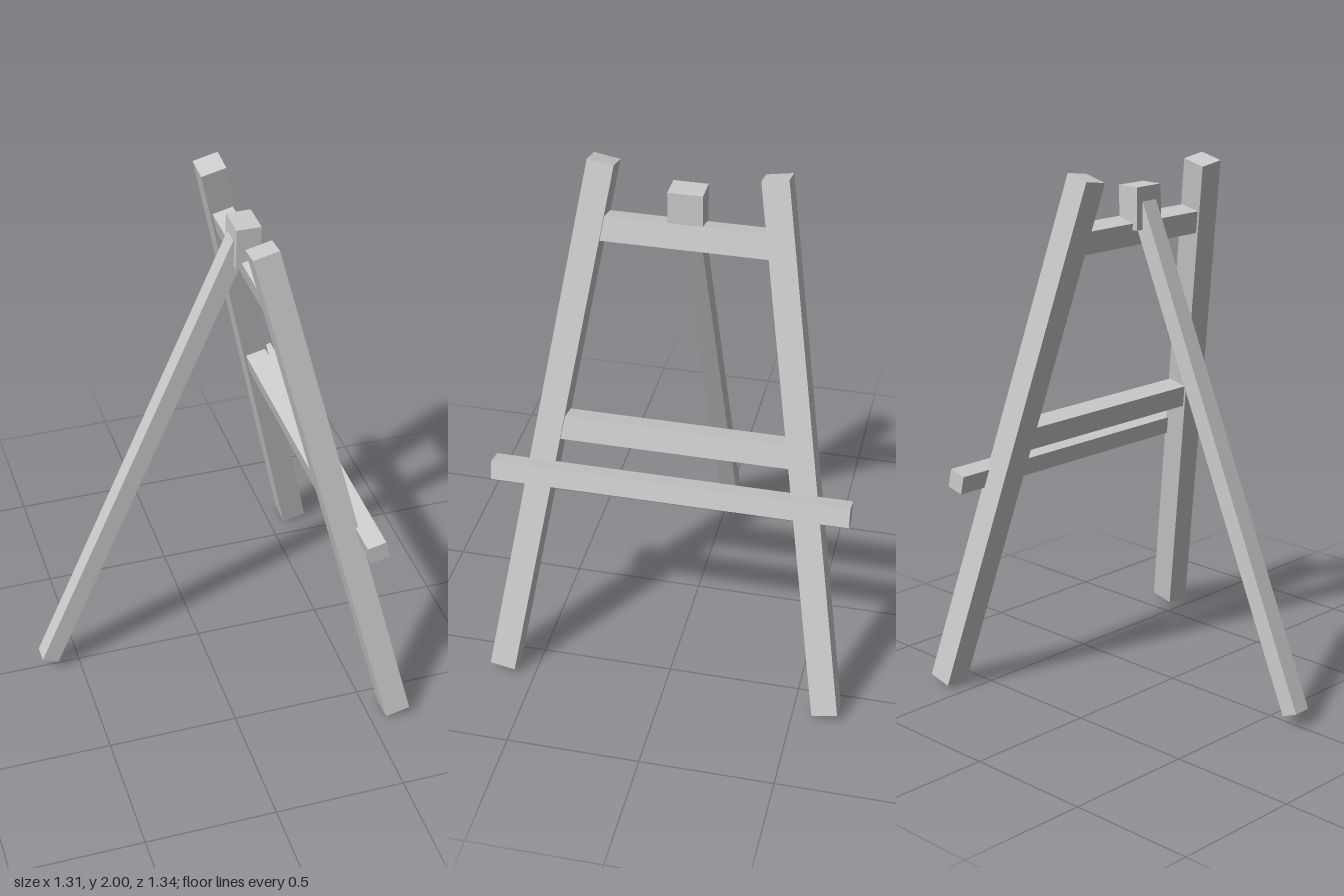
import * as THREE from 'three';

export function createModel() {
  const model = new THREE.Group();
  model.name = 'easel';
  const wood = new THREE.MeshStandardMaterial({ color: 0xcccccc });
  wood.name = 'plain grey wood';

  const beam = (parent, name, size, position) => {
    const mesh = new THREE.Mesh(new THREE.BoxGeometry(...size), wood);
    mesh.name = name;
    mesh.position.set(...position);
    parent.add(mesh);
    return mesh;
  };

  // Front frame: leans back from its feet; local y runs up the slope, local x faces out
  const frame = new THREE.Group();
  frame.name = 'frontFrame';
  frame.position.set(0.606, 0.0185, 0);
  frame.rotation.z = 0.236;
  model.add(frame);

  // Two legs, spread wider at the feet
  const rise = 2.019, footZ = 0.623, topZ = 0.305;
  for (const side of [1, -1]) {
    const leg = beam(frame, side > 0 ? 'leftLeg' : 'rightLeg',
      [0.097, Math.hypot(rise, footZ - topZ), 0.097],
      [0, rise / 2, side * (footZ + topZ) / 2]);
    leg.rotation.x = -side * Math.atan2(footZ - topZ, rise);
  }

  // Crossbars, with their ends let into the legs
  beam(frame, 'topCrossbar', [0.08, 0.09, 0.68], [0, 1.781, 0]);
  beam(frame, 'middleCrossbar', [0.08, 0.09, 0.9], [0, 1.015, 0]);

  // Ledge that carries the canvas
  beam(frame, 'canvasLedge', [0.072, 0.073, 1.32], [0.074, 0.842, 0]);

  // Upright block holding the rear leg
  beam(model, 'hingeBlock', [0.092, 0.16, 0.125], [0.166, 1.84, 0]);

  // Rear leg, sloping down and back from the block
  const length = 1.96, lean = 0.404;
  const rearLeg = beam(model, 'rearLeg', [0.068, length, 0.07], [
    -0.6215 + Math.sin(lean) * length / 2, 0.05 + Math.cos(lean) * length / 2, 0]);
  rearLeg.rotation.z = -lean;

  return model;
}
